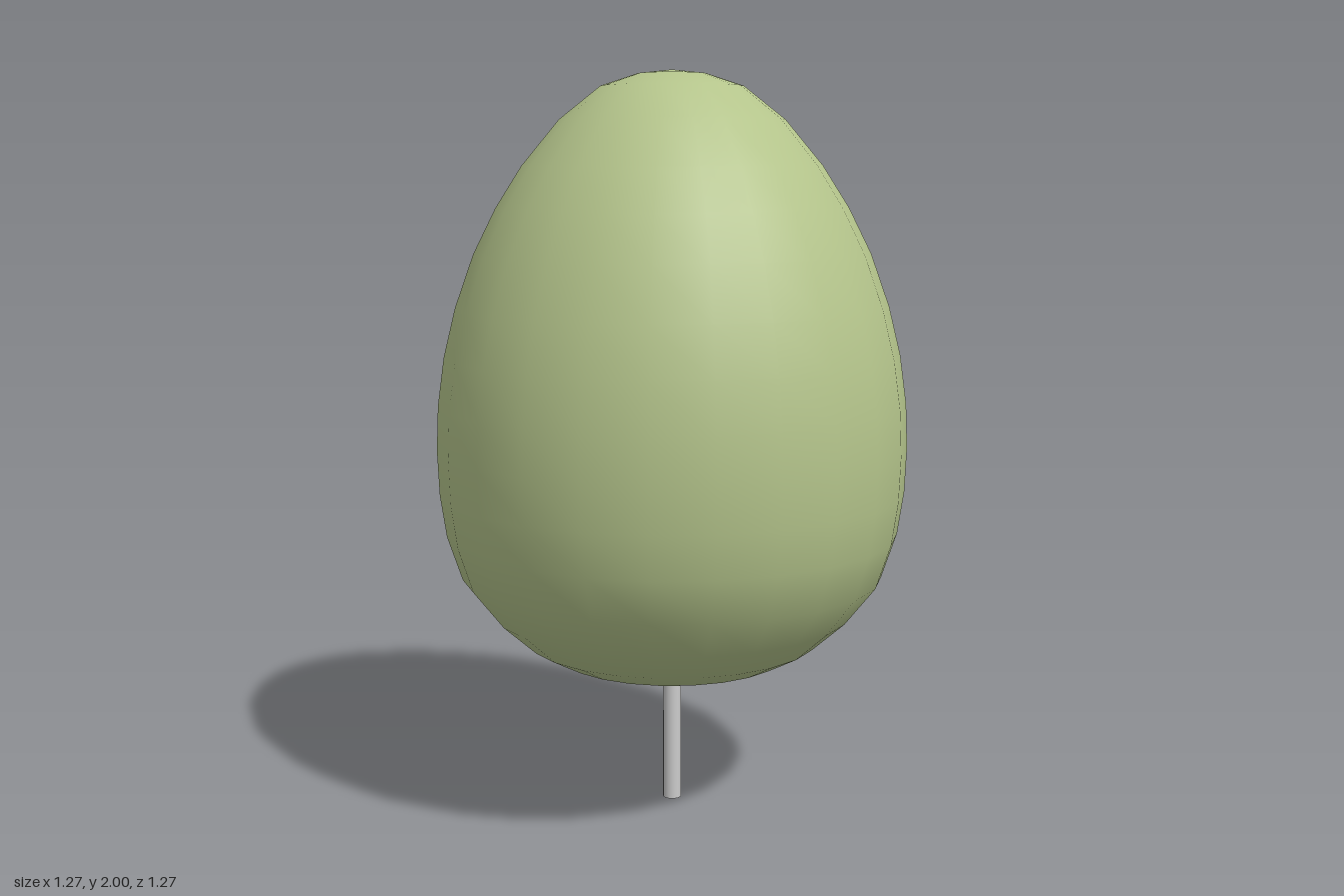
import * as THREE from 'three';

export function createModel() {
  const model = new THREE.Group();

  // Egg-shaped crown: radius and height pairs from bottom to top
  const profile = [
    [0, 0.355], [0.2, 0.38], [0.315, 0.415], [0.4, 0.46], [0.49, 0.54],
    [0.573, 0.645], [0.613, 0.765], [0.63, 0.88], [0.635, 1.0], [0.63, 1.12],
    [0.612, 1.25], [0.58, 1.38], [0.53, 1.52], [0.47, 1.64], [0.4, 1.75],
    [0.3, 1.87], [0.19, 1.957], [0.09, 1.99], [0, 2],
  ].map(([r, y]) => new THREE.Vector2(r, y));
  const crown = new THREE.Mesh(
    new THREE.LatheGeometry(profile, 24),
    new THREE.MeshStandardMaterial({ color: 0xb4c48b })
  );
  crown.name = 'crown';
  model.add(crown);

  // Thin straight trunk, its top sunk into the crown
  const trunk = new THREE.Mesh(
    new THREE.CylinderGeometry(0.025, 0.025, 0.4, 16),
    new THREE.MeshStandardMaterial({ color: 0xcccccc })
  );
  trunk.name = 'trunk';
  trunk.position.y = 0.2;
  model.add(trunk);

  return model;
}
